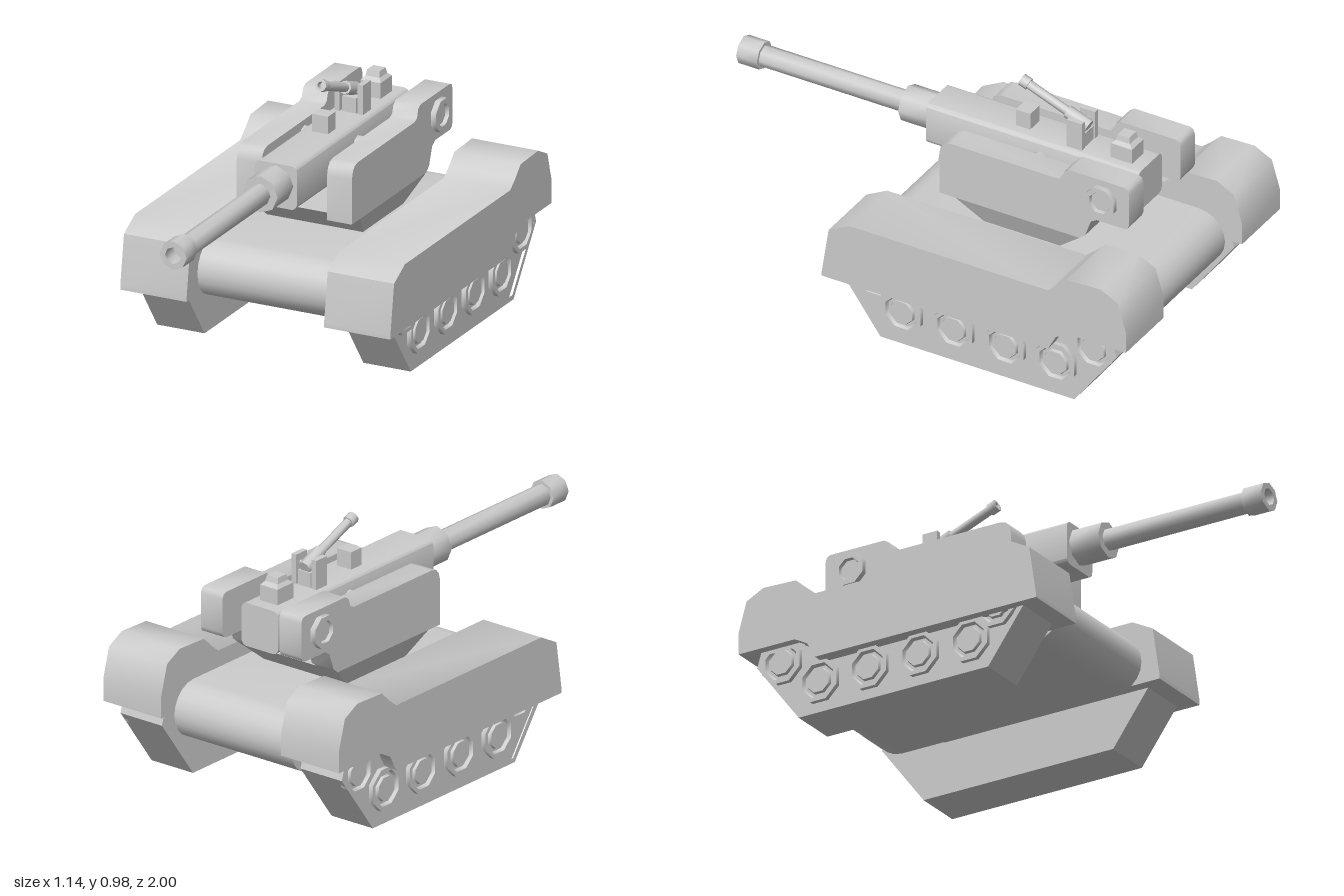
import * as THREE from 'three';
import { toCreasedNormals } from 'three/addons/utils/BufferGeometryUtils.js';

const material = new THREE.MeshStandardMaterial({ color: 0xcccccc });

function add(parent, name, geometry) {
  const mesh = new THREE.Mesh(geometry, material);
  mesh.name = name;
  parent.add(mesh);
  return mesh;
}

const toPoints = (list) => list.map(([a, b]) => new THREE.Vector2(a, b));

// Side profile given as (z, y), extruded across x from x0 to x1
function slab(profile, x0, x1, hole, crease = 0.9) {
  const shape = new THREE.Shape(toPoints(profile));
  if (hole) shape.holes.push(new THREE.Path(toPoints(hole)));
  const g = new THREE.ExtrudeGeometry(shape, { depth: x1 - x0, bevelEnabled: false });
  g.rotateY(-Math.PI / 2).translate(x1, 0, 0);
  return toCreasedNormals(g, crease);
}

function box(x0, x1, y0, y1, z0, z1) {
  return new THREE.BoxGeometry(x1 - x0, y1 - y0, z1 - z0)
    .translate((x0 + x1) / 2, (y0 + y1) / 2, (z0 + z1) / 2);
}

// Block whose top and bottom rectangles differ: [halfWidth, zBack, zFront]
function taperedBlock(bottom, top, y0, y1) {
  const g = new THREE.BoxGeometry(1, 1, 1);
  const p = g.attributes.position;
  for (let i = 0; i < p.count; i++) {
    const up = p.getY(i) > 0;
    const [w, zb, zf] = up ? top : bottom;
    p.setXYZ(i, Math.sign(p.getX(i)) * w, up ? y1 : y0, p.getZ(i) > 0 ? zf : zb);
  }
  g.computeVertexNormals();
  return g;
}

// Eight-sided turned part along +y from (radius, height) points
function turned(profile, turn = 0) {
  const g = new THREE.LatheGeometry(toPoints(profile), 8).rotateY(turn);
  return toCreasedNormals(g, 0.9);
}

// Turned disc facing sideways, s = +1 or -1
function sideDisc(profile, s, x, y, z) {
  return turned(profile, Math.PI / 8).rotateZ(-s * Math.PI / 2).translate(s * x, y, z);
}

// Straight round bar between two points
function rod(a, b, r, sides = 8) {
  const from = new THREE.Vector3(...a), to = new THREE.Vector3(...b);
  const dir = to.clone().sub(from);
  const g = new THREE.CylinderGeometry(r, r, dir.length(), sides);
  g.applyQuaternion(new THREE.Quaternion().setFromUnitVectors(
    new THREE.Vector3(0, 1, 0), dir.clone().normalize()));
  const mid = from.add(to).multiplyScalar(0.5);
  return g.translate(mid.x, mid.y, mid.z);
}

const FENDER = [[0.325, 0.215], [0.325, 0.235], [0.295, 0.43], [0.205, 0.478], [-0.66, 0.478],
  [-0.7, 0.51], [-0.745, 0.553], [-0.89, 0.558], [-0.965, 0.52], [-1, 0.40], [-1, 0.31],
  [-0.75, 0.31], [-0.695, 0.28], [-0.66, 0.215]];
const TRACK = [[0.25, 0.22], [0.09, 0], [-0.755, 0], [-0.94, 0.25], [-0.92, 0.315], [0.2, 0.315]];
const TRACK_OPENING = [[0.225, 0.225], [0.08, 0.02], [-0.745, 0.02], [-0.918, 0.25], [-0.9, 0.295], [0.19, 0.295]];
const WHEELS = [[0.12, 0.25], [0, 0.135], [-0.225, 0.135], [-0.45, 0.135], [-0.67, 0.135], [-0.835, 0.25]];
const WHEEL = [[0.09, 0], [0.09, 0.02], [0.073, 0.02], [0.066, 0.006], [0.054, 0.006], [0.05, 0.018], [0, 0.018]];
const ARMOUR = [[0.005, 0.51], [0.005, 0.69], [-0.003, 0.72], [-0.018, 0.738], [-0.045, 0.745],
  [-0.51, 0.745], [-0.53, 0.755], [-0.54, 0.787], [-0.56, 0.8], [-0.8, 0.8], [-0.815, 0.793],
  [-0.822, 0.775], [-0.822, 0.64], [-0.815, 0.622], [-0.8, 0.615], [-0.68, 0.615], [-0.655, 0.6],
  [-0.63, 0.53], [-0.605, 0.51]];
const BOLT = [[0.067, 0], [0.067, 0.023], [0.046, 0.023], [0.043, 0.008], [0, 0.008]];

function buildRunningGear(s) {
  const gear = new THREE.Group();
  gear.name = s > 0 ? 'leftRunningGear' : 'rightRunningGear';
  const span = (a, b) => (s > 0 ? [a, b] : [-b, -a]);
  add(gear, 'fender', slab(FENDER, ...span(0.29, 0.57)));
  add(gear, 'trackCore', slab(TRACK, ...span(0.335, 0.515), null, 0.3));
  add(gear, 'trackRim', slab(TRACK, ...span(0.515, 0.535), TRACK_OPENING, 0.3));
  for (const [z, y] of WHEELS) add(gear, 'roadWheel', sideDisc(WHEEL, s, 0.514, y, z));
  return gear;
}

function buildTurret() {
  const turret = new THREE.Group();
  turret.name = 'turret';
  add(turret, 'turretBase', taperedBlock([0.2, -0.49, -0.17], [0.243, -0.605, -0.065], 0.41, 0.51));

  // Central housing with rounded long edges
  const w = 0.088, y0 = 0.59, y1 = 0.765, r = 0.025;
  const section = new THREE.Shape();
  section.absarc(w - r, y1 - r, r, 0, Math.PI / 2);
  section.absarc(-w + r, y1 - r, r, Math.PI / 2, Math.PI);
  section.absarc(-w + r, y0 + r, r, Math.PI, Math.PI * 1.5);
  section.absarc(w - r, y0 + r, r, Math.PI * 1.5, Math.PI * 2);
  const housing = new THREE.ExtrudeGeometry(section, { depth: 0.925, bevelEnabled: false, curveSegments: 4 });
  add(turret, 'gunHousing', toCreasedNormals(housing.translate(0, 0, -0.77), 0.9));

  // Side armour, its round caps and the cross shaft
  for (const s of [1, -1]) {
    add(turret, 'sideArmour', slab(ARMOUR, ...(s > 0 ? [0.138, 0.243] : [-0.243, -0.138])));
    add(turret, 'armourCap', sideDisc(BOLT, s, 0.243, 0.711, -0.705));
  }
  add(turret, 'crossShaft', rod([-0.15, 0.685, -0.345], [0.15, 0.685, -0.345], 0.038));

  // Main gun: collar, barrel and bored muzzle
  const gun = turned([[0.073, 0.14], [0.073, 0.285], [0.043, 0.285], [0.043, 0.91], [0.057, 0.91],
    [0.057, 1], [0.034, 1], [0.034, 0.93], [0, 0.93]]);
  add(turret, 'mainGun', gun.rotateX(Math.PI / 2).translate(0, 0.685, 0));
  return turret;
}

function buildRoofFittings() {
  const roof = new THREE.Group();
  roof.name = 'roofFittings';
  // Sight block at the front
  add(roof, 'sightBlock', box(-0.034, 0.034, 0.755, 0.835, -0.268, -0.205));

  // Small gun on a fork
  for (const s of [1, -1]) {
    add(roof, 'forkPlate', box(s * 0.049 - 0.011, s * 0.049 + 0.011, 0.755, 0.883, -0.508, -0.442));
  }
  add(roof, 'forkPin', rod([-0.05, 0.843, -0.478], [0.05, 0.843, -0.478], 0.012));
  add(roof, 'forkPost', box(-0.03, 0.03, 0.755, 0.825, -0.505, -0.445));
  const small = turned([[0, 0], [0.026, 0], [0.026, 0.1], [0.018, 0.1], [0.018, 0.28], [0.024, 0.28],
    [0.024, 0.315], [0.014, 0.315], [0.014, 0.29], [0, 0.29]]);
  const gun = add(roof, 'smallGun', small);
  gun.position.set(0, 0.84, -0.505);
  gun.rotation.x = Math.PI / 2 - 0.37;

  // Stepped cupola at the back
  add(roof, 'cupolaBase', box(-0.042, 0.042, 0.755, 0.828, -0.716, -0.622));
  add(roof, 'cupolaShoulder', taperedBlock([0.042, -0.716, -0.622], [0.03, -0.7, -0.638], 0.828, 0.842));
  add(roof, 'cupolaTop', taperedBlock([0.03, -0.7, -0.638], [0.026, -0.694, -0.644], 0.842, 0.865));
  return roof;
}

export function createModel() {
  const model = new THREE.Group();
  model.name = 'tank';

  // Hull with half-round nose and tail
  const profile = [];
  const r = 0.113, n = 10;
  for (const [z, start] of [[0.25 - r, -Math.PI / 2], [-0.93 + r, Math.PI / 2]]) {
    for (let i = 0; i <= n; i++) {
      const a = start + (i / n) * Math.PI;
      profile.push([z + r * Math.cos(a), 0.302 + r * Math.sin(a)]);
    }
  }
  add(model, 'hull', slab(profile, -0.283, 0.283));
  // Hidden cross beam joining the hull to the fenders
  add(model, 'crossBeam', box(-0.3, 0.3, 0.26, 0.34, -0.6, -0.05));

  model.add(buildRunningGear(1), buildRunningGear(-1), buildTurret(), buildRoofFittings());
  return model;
}
